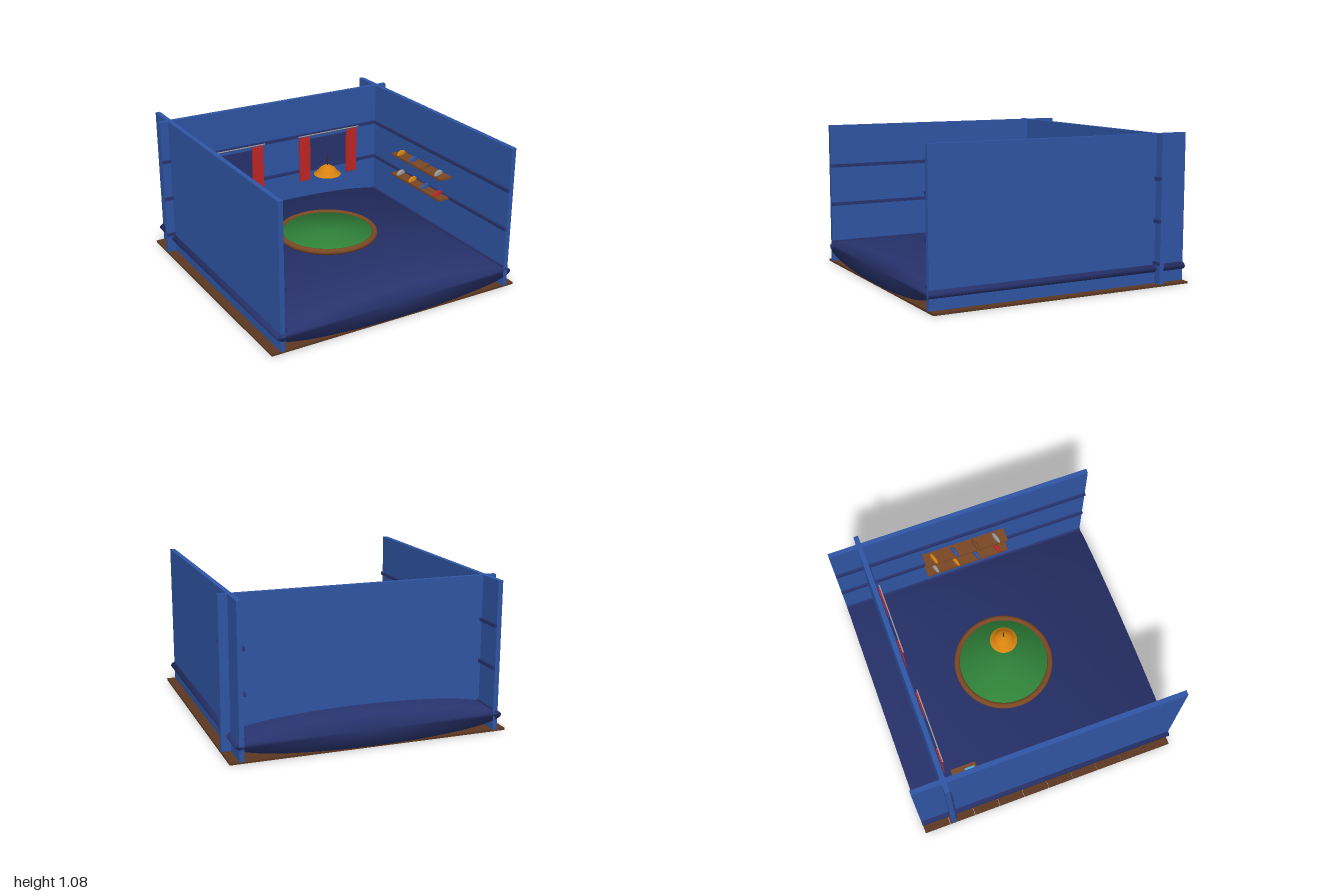
import * as THREE from 'three';

const mat = (name, color, side = THREE.FrontSide) => {
  const m = new THREE.MeshStandardMaterial({ color, side });
  m.name = name;
  return m;
};

export function createModel() {
  const root = new THREE.Group();
  root.name = 'room';
  const blue = mat('wall blue', 0x2f55a4);
  const navy = mat('navy', 0x28336e);
  const red = mat('red', 0xc02525);
  const green = mat('green', 0x2f8239);
  const orange = mat('orange', 0xd8820f, THREE.DoubleSide);
  const wood = mat('wood brown', 0x7a4824);
  const plankBrown = mat('plank brown', 0x5c3722);
  const cyan = mat('light blue', 0x4fb0dc);
  const grey = mat('grey', 0x9a9a9e);
  const dark = mat('dark brown', 0x47301e);

  const add = (name, geometry, material, x = 0, y = 0, z = 0) => {
    const mesh = new THREE.Mesh(geometry, material);
    mesh.name = name;
    mesh.position.set(x, y, z);
    root.add(mesh);
    return mesh;
  };
  // Box given by its lower and upper limits on each axis
  const box = (name, material, x0, x1, y0, y1, z0, z1) =>
    add(name, new THREE.BoxGeometry(x1 - x0, y1 - y0, z1 - z0), material,
      (x0 + x1) / 2, (y0 + y1) / 2, (z0 + z1) / 2);

  // Capped elliptic cylinder along y whose shading rolls softly over the rims
  const softCylinder = (rx, rz, height) => {
    const g = new THREE.CylinderGeometry(1, 1, height, 64, 1);
    g.scale(rx, 1, rz);
    const p = g.attributes.position, n = g.attributes.normal;
    const v = new THREE.Vector3();
    for (let i = 0; i < p.count; i++) {
      v.set(p.getX(i) / (rx * rx), 0, p.getZ(i) / (rz * rz));
      if (v.lengthSq() > 1e-6) v.normalize();
      v.y = Math.sign(p.getY(i));
      v.normalize();
      n.setXYZ(i, v.x, v.y, v.z);
    }
    return g;
  };

  // Floor planks
  for (let i = 0; i < 10; i++) {
    const z = -1 + i * 0.2;
    box('floorPlank', plankBrown, -1, 1, 0, 0.015, z + 0.002, z + 0.198);
  }

  // Broad cushioned floor
  const cushion = softCylinder(0.965, 0.113, 2);
  cushion.rotateX(Math.PI / 2);
  add('floorCushion', cushion, navy, 0, 0.122, 0);

  // Walls and their rails
  box('backWall', blue, -1, 1, 0.012, 1.08, -0.785, -0.75);
  for (const s of [-1, 1]) {
    box('sideWall', blue, s * 0.9175 - 0.0175, s * 0.9175 + 0.0175, 0.012, 1.08, -1, 1);
  }
  for (const y of [0.165, 0.465, 0.765]) {
    box('backRail', navy, -1, 1, y - 0.012, y + 0.012, -0.752, -0.735);
    for (const s of [-1, 1]) {
      box('sideRail', navy, s * 0.892 - 0.009, s * 0.892 + 0.009, y - 0.012, y + 0.012, -1, 1);
    }
  }

  // Curtain outline with scalloped top and bottom
  const curtainShape = new THREE.Shape();
  const half = 0.0475, steps = 24;
  const wave = (t) => 0.007 * Math.cos(t * Math.PI * 8);
  for (let i = 0; i <= steps; i++) {
    const t = i / steps, x = -half + 2 * half * t;
    if (i === 0) curtainShape.moveTo(x, 0.383 + wave(t));
    else curtainShape.lineTo(x, 0.383 + wave(t));
  }
  for (let i = steps; i >= 0; i--) {
    const t = i / steps;
    curtainShape.lineTo(-half + 2 * half * t, 0.75 + wave(t));
  }
  const curtainGeo = new THREE.ExtrudeGeometry(curtainShape, { depth: 0.014, bevelEnabled: false });

  // Windows, curtain rods and curtains
  for (const s of [-1, 1]) {
    box('window', navy, s * 0.433 - 0.19, s * 0.433 + 0.19, 0.475, 0.725, -0.75, -0.742);
    const rod = add('curtainRod', new THREE.CylinderGeometry(0.005, 0.005, 0.565, 10), grey, s * 0.434, 0.767, -0.718);
    rod.rotation.z = Math.PI / 2;
    for (const x of [0.2125, 0.6525]) add('curtain', curtainGeo, red, s * x, 0, -0.734);
  }

  // Round rug with rim
  add('rugTop', softCylinder(0.355, 0.355, 0.03), green, 0, 0.255, 0);
  const rim = new THREE.TorusGeometry(0.358, 0.022, 12, 64);
  rim.rotateX(Math.PI / 2);
  add('rugRim', rim, wood, 0, 0.262, 0);

  // Hanging lamp
  const shade = [[0.001, 0.803], [0.03, 0.797], [0.055, 0.78], [0.072, 0.76], [0.08, 0.748], [0.1, 0.733]]
    .reverse().map(([r, y]) => new THREE.Vector2(r, y));
  add('lampShade', new THREE.LatheGeometry(shade, 40), orange);
  add('lampBulb', new THREE.SphereGeometry(0.025, 20, 14), dark, 0, 0.733, 0);
  add('lampCord', new THREE.CylinderGeometry(0.003, 0.003, 0.085, 8), dark, 0, 0.842, 0);

  // Cabinet with a two-dial box and leaning red folds
  box('cabinet', wood, -0.883, -0.655, 0.015, 0.21, -0.67, -0.473);
  box('dialBox', cyan, -0.882, -0.725, 0.305, 0.395, -0.575, -0.5);
  for (const x of [-0.842, -0.762]) {
    const dial = add('dial', new THREE.CylinderGeometry(0.028, 0.028, 0.009, 28), dark, x, 0.35, -0.497);
    dial.rotation.x = Math.PI / 2;
  }
  for (let i = 0; i < 5; i++) {
    const fold = add('redFold', new THREE.CylinderGeometry(0.0115, 0.0115, 0.092, 12), red,
      -0.815 + i * 0.021, 0.244, -0.471);
    fold.rotation.z = -0.22;
  }

  // Shelves holding slim domed plates
  const plateGeo = new THREE.SphereGeometry(1, 28, 10, 0, Math.PI * 2, 0, Math.PI / 2);
  const baseGeo = new THREE.CircleGeometry(1, 28);
  baseGeo.rotateX(Math.PI / 2);
  const shelves = [
    [0.632, [orange, blue, wood, grey]],
    [0.463, [grey, orange, blue, red]],
  ];
  for (const [y, colours] of shelves) {
    box('shelf', wood, 0.792, 0.9, y - 0.008, y + 0.008, -0.33, 0.33);
    colours.forEach((m, i) => {
      for (const [name, g] of [['plate', plateGeo], ['plateBase', baseGeo]]) {
        const plate = add(name, g, m, 0.836, y + 0.012, -0.255 + i * 0.168);
        plate.scale.set(0.051, 0.036, 0.014);
        plate.rotation.y = 0.3;
      }
    });
  }

  return root;
}
